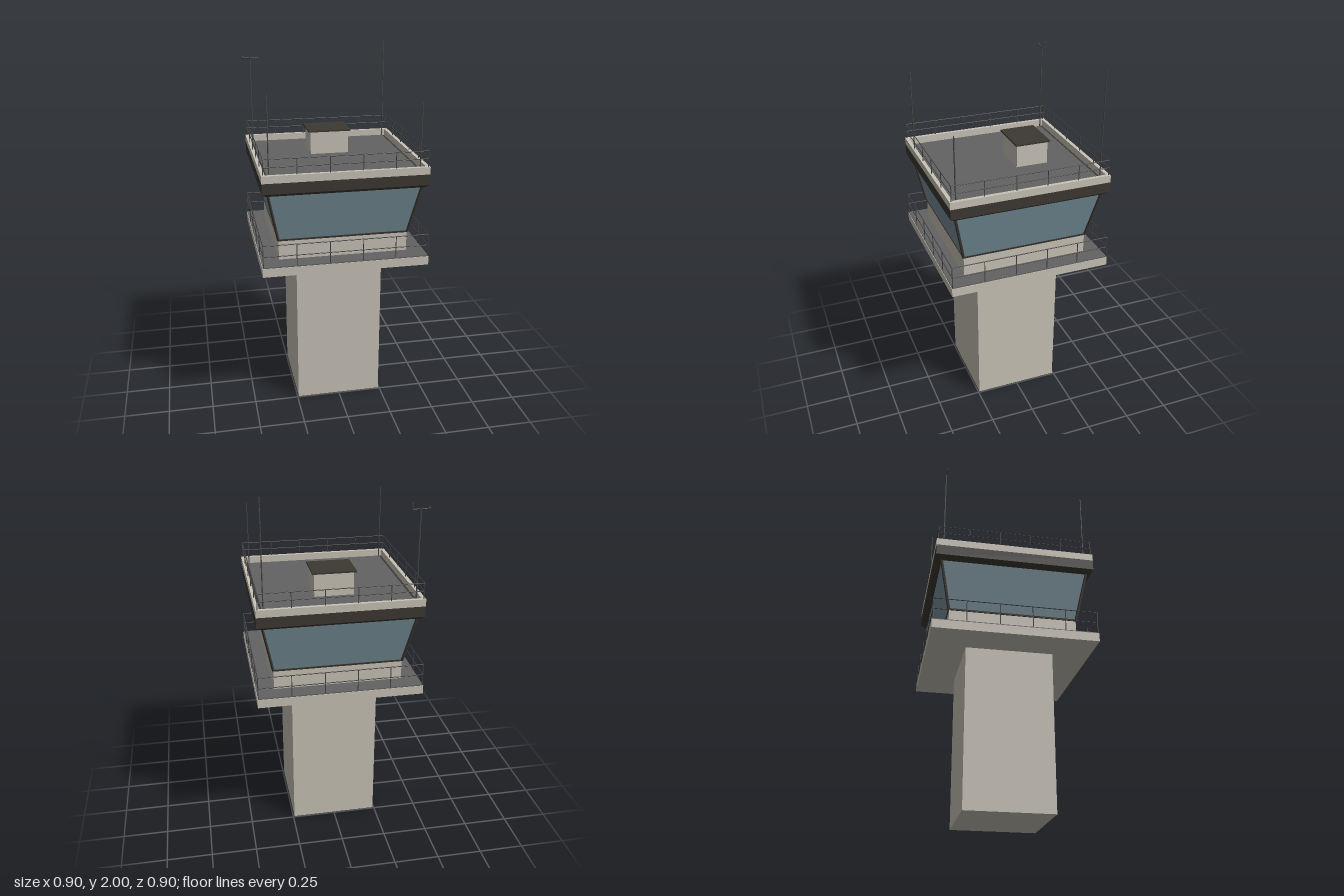
import * as THREE from 'three';

const mat = (color, extra = {}) => new THREE.MeshStandardMaterial({ color, flatShading: true, ...extra });
const concrete = mat(0xcac4b8);
const dark = mat(0x3d3933);
const roofing = mat(0x636363);
const glass = mat(0x78909a);
const metal = mat(0x4a4a4a);

export function createModel() {
  const model = new THREE.Group();

  const add = (name, geometry, material, parent = model) => {
    const mesh = new THREE.Mesh(geometry, material);
    mesh.name = name;
    parent.add(mesh);
    return mesh;
  };

  // Square block between two heights, with half-widths at bottom and top
  const block = (name, y0, y1, bottom, top, material) => {
    const g = new THREE.CylinderGeometry(top * Math.SQRT2, bottom * Math.SQRT2, y1 - y0, 4, 1);
    g.rotateY(Math.PI / 4);
    g.translate(0, (y0 + y1) / 2, 0);
    return add(name, g, material);
  };

  const box = (name, x0, x1, y0, y1, z0, z1, material) => {
    const g = new THREE.BoxGeometry(x1 - x0, y1 - y0, z1 - z0);
    g.translate((x0 + x1) / 2, (y0 + y1) / 2, (z0 + z1) / 2);
    return add(name, g, material);
  };

  // Round bar from a to b
  const bar = (name, a, b, r, material, parent, sides = 6) => {
    const from = new THREE.Vector3(...a), to = new THREE.Vector3(...b);
    const dir = to.clone().sub(from);
    const mesh = add(name, new THREE.CylinderGeometry(r, r, dir.length(), sides), material, parent);
    mesh.position.copy(from).add(to).multiplyScalar(0.5);
    mesh.quaternion.setFromUnitVectors(new THREE.Vector3(0, 1, 0), dir.normalize());
    return mesh;
  };

  // Square railing: posts and two rails on each of four sides
  const railing = (name, half, y0, yMid, yTop) => {
    const group = new THREE.Group();
    group.name = name;
    for (let s = 0; s < 4; s++) {
      const side = new THREE.Group();
      side.name = 'railingSide';
      side.rotation.y = s * Math.PI / 2;
      for (const y of [yMid, yTop]) bar('rail', [-half, y, half], [half, y, half], 0.0025, metal, side);
      for (let i = 0; i < 5; i++) {
        const x = -half + i * half * 2 / 5;
        bar('post', [x, y0, half], [x, yTop, half], 0.0025, metal, side);
      }
      group.add(side);
    }
    model.add(group);
  };

  // Shaft and walkway
  block('shaft', 0, 0.89, 0.243, 0.243, concrete);
  block('walkwaySlab', 0.89, 0.938, 0.452, 0.452, concrete);
  block('walkwayDeck', 0.938, 0.944, 0.449, 0.449, roofing);
  railing('walkwayRailing', 0.447, 0.944, 1.003, 1.065);

  // Cab with outward-leaning windows
  block('cabBase', 0.944, 1.055, 0.353, 0.353, concrete);
  block('windowSill', 1.05, 1.06, 0.356, 0.358, dark);
  block('windows', 1.06, 1.326, 0.354, 0.409, glass);
  for (const x of [-1, 1]) for (const z of [-1, 1])
    bar('cornerMullion', [x * 0.354, 1.055, z * 0.354], [x * 0.41, 1.33, z * 0.41], 0.008, dark);

  // Roof edge
  block('soffit', 1.324, 1.342, 0.42, 0.443, dark);
  block('fascia', 1.342, 1.4, 0.443, 0.443, dark);
  block('roofSurface', 1.4, 1.408, 0.404, 0.404, roofing);
  const square = (path, h) => {
    path.moveTo(-h, -h);
    path.lineTo(h, -h);
    path.lineTo(h, h);
    path.lineTo(-h, h);
    path.closePath();
    return path;
  };
  const outline = square(new THREE.Shape(), 0.443);
  outline.holes.push(square(new THREE.Path(), 0.423));
  const parapet = new THREE.ExtrudeGeometry(outline, { depth: 0.04, bevelEnabled: false });
  parapet.rotateX(-Math.PI / 2);
  parapet.translate(0, 1.4, 0);
  add('parapet', parapet, concrete);
  railing('roofRailing', 0.433, 1.44, 1.482, 1.525);

  // Roof hut
  box('roofHut', -0.108, 0.108, 1.408, 1.535, -0.223, -0.043, concrete);
  box('roofHutCap', -0.12, 0.12, 1.535, 1.544, -0.233, -0.033, dark);

  // Whip antennas of different heights
  for (const [x, z, top] of [[0.4, -0.4, 2], [-0.4, 0.4, 1.84], [0.4, 0.4, 1.77]])
    bar('antenna', [x, 1.4, z], [x, top, z], 0.0035, metal);

  // Weather mast with cup and vane
  const mast = new THREE.Group();
  mast.name = 'weatherMast';
  model.add(mast);
  bar('mast', [-0.402, 1.4, -0.4], [-0.402, 1.907, -0.4], 0.004, metal, mast);
  bar('crossArm', [-0.447, 1.905, -0.4], [-0.358, 1.905, -0.4], 0.0025, metal, mast);
  add('windCup', new THREE.SphereGeometry(0.007, 8, 6), metal, mast).position.set(-0.445, 1.909, -0.4);
  bar('windVane', [-0.358, 1.905, -0.4], [-0.358, 1.94, -0.4], 0.003, metal, mast);

  return model;
}
